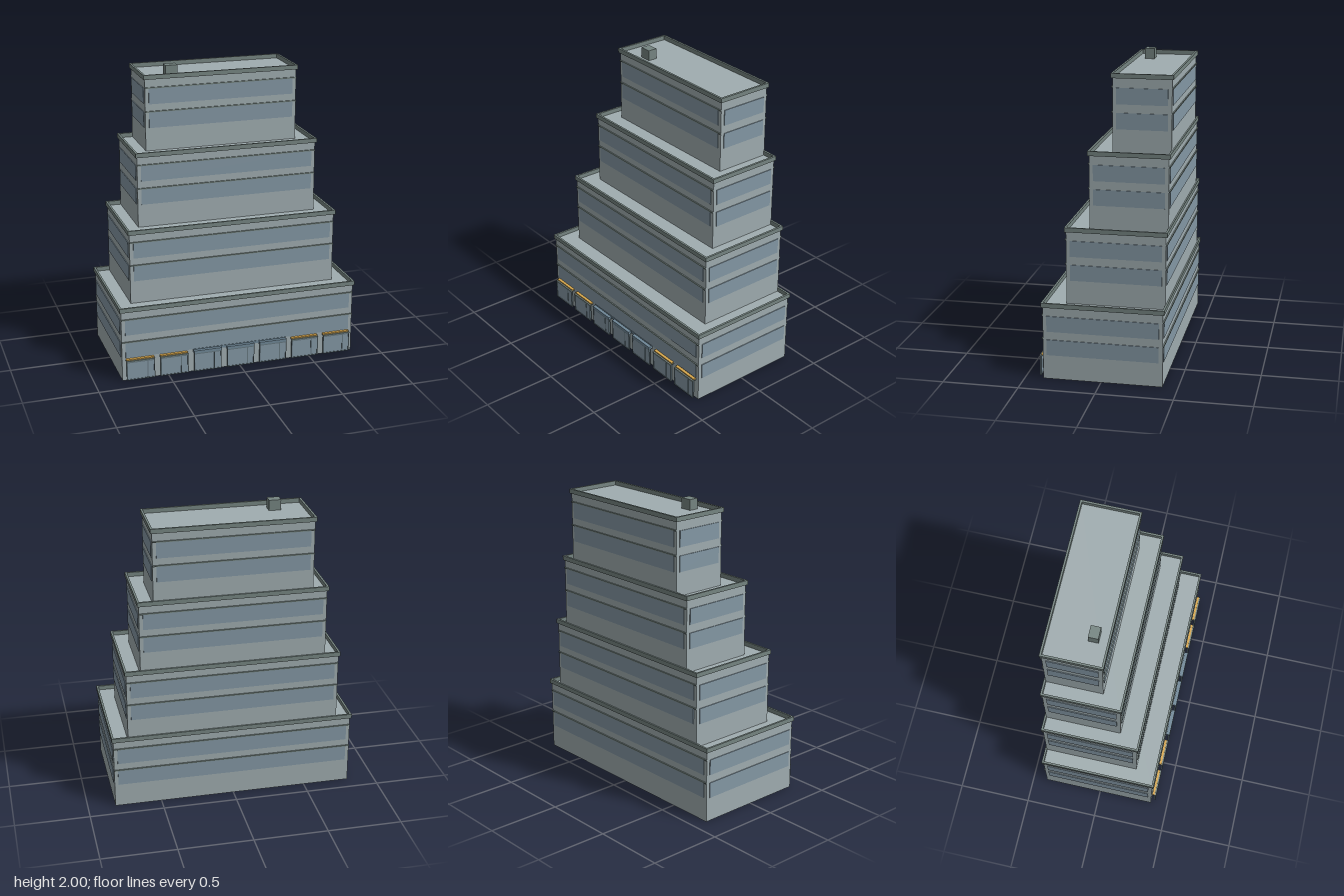
import * as THREE from 'three';

const mat = (color) => new THREE.MeshStandardMaterial({ color });

export function createModel() {
  const wall = mat(0xa0adb0), glass = mat(0x8498a5), trim = mat(0x768582);
  const frame = mat(0x667880), canopyBlue = mat(0x6f8797), amber = mat(0xd9a94e);
  const model = new THREE.Group();
  model.name = 'steppedBuilding';

  // Box given by its min and max on each axis
  const box = (parent, name, material, [x0, x1], [y0, y1], [z0, z1]) => {
    const m = new THREE.Mesh(new THREE.BoxGeometry(x1 - x0, y1 - y0, z1 - z0), material);
    m.position.set((x0 + x1) / 2, (y0 + y1) / 2, (z0 + z1) / 2);
    m.name = name;
    parent.add(m);
    return m;
  };

  // Stepped tiers sharing one flush back wall
  const back = -0.4;
  const tiers = [
    { half: 0.815, front: 0.38, y0: 0, y1: 0.487 },
    { half: 0.715, front: 0.245, y0: 0.487, y1: 0.967 },
    { half: 0.62, front: 0.112, y0: 0.967, y1: 1.447 },
    { half: 0.525, front: -0.02, y0: 1.447, y1: 1.93 },
  ];
  tiers.forEach(({ half, front, y0, y1 }, i) => {
    const tier = new THREE.Group();
    tier.name = 'tier' + (i + 1);
    model.add(tier);
    box(tier, 'walls', wall, [-half, half], [y0, y1], [back, front]);

    // Parapet rim around the roof
    const py = [y1 - 0.001, y1 + 0.029], out = 0.01, inn = 0.004;
    box(tier, 'frontParapet', trim, [-half - out, half + out], py, [front - inn, front + out]);
    box(tier, 'backParapet', trim, [-half - out, half + out], py, [back - out, back + inn]);
    for (const s of [-1, 1]) {
      const xs = [s * (half - inn), s * (half + out)].sort((a, b) => a - b);
      box(tier, 'sideParapet', trim, xs, py, [back + inn, front - inn]);
    }

    // Two window bands per tier, with ledges on the front and back
    for (const floor of [0, 1]) {
      const w = 0.163 + 0.48 * i + 0.16 * floor;
      const wy = [w, w + 0.105], ly = [w + 0.105, w + 0.113];
      box(tier, 'frontWindows', glass, [-half + 0.025, half - 0.025], wy, [front - 0.002, front + 0.005]);
      box(tier, 'backWindows', glass, [-half + 0.025, half - 0.025], wy, [back - 0.005, back + 0.002]);
      box(tier, 'frontLedge', trim, [-half, half], ly, [front - 0.002, front + 0.008]);
      box(tier, 'backLedge', trim, [-half, half], ly, [back - 0.008, back + 0.002]);
      for (const s of [-1, 1]) {
        const xs = [s * (half - 0.002), s * (half + 0.005)].sort((a, b) => a - b);
        box(tier, 'sideWindows', glass, xs, wy, [back + 0.025, front - 0.025]);
      }
    }
  });

  // Row of shopfronts standing just ahead of the front wall
  for (let i = -3; i <= 3; i++) {
    const shop = new THREE.Group();
    shop.name = 'shopfront';
    shop.position.x = i * 0.2315;
    model.add(shop);
    const w = 0.096, t = 0.006, z = [0.398, 0.409];
    box(shop, 'shopGlass', glass, [-w + t, w - t], [0.016, 0.134], [0.4, 0.406]);
    box(shop, 'topRail', frame, [-w, w], [0.134, 0.142], z);
    box(shop, 'bottomRail', frame, [-w, w], [0.01, 0.016], z);
    for (const x of [-w, 0.044, w - t]) box(shop, 'post', frame, [x, x + t], [0.016, 0.134], z);

    // Canopies: lit strips on the outer shops, plain slabs in the middle
    const middle = Math.abs(i) < 2;
    box(shop, 'canopy', middle ? canopyBlue : trim, [-w, w], [0.142, middle ? 0.16 : 0.148], [0.378, 0.411]);
    if (!middle) box(shop, 'lightStrip', amber, [-w + 0.002, w - 0.002], [0.148, 0.156], [0.378, 0.4]);
  }
  box(model, 'entranceFascia', canopyBlue, [-0.328, 0.328], [0.147, 0.165], [0.378, 0.388]);

  // Small vent box on the top roof
  box(model, 'roofVent', trim, [-0.367, -0.287], [1.929, 2], [-0.145, -0.08]);
  return model;
}
